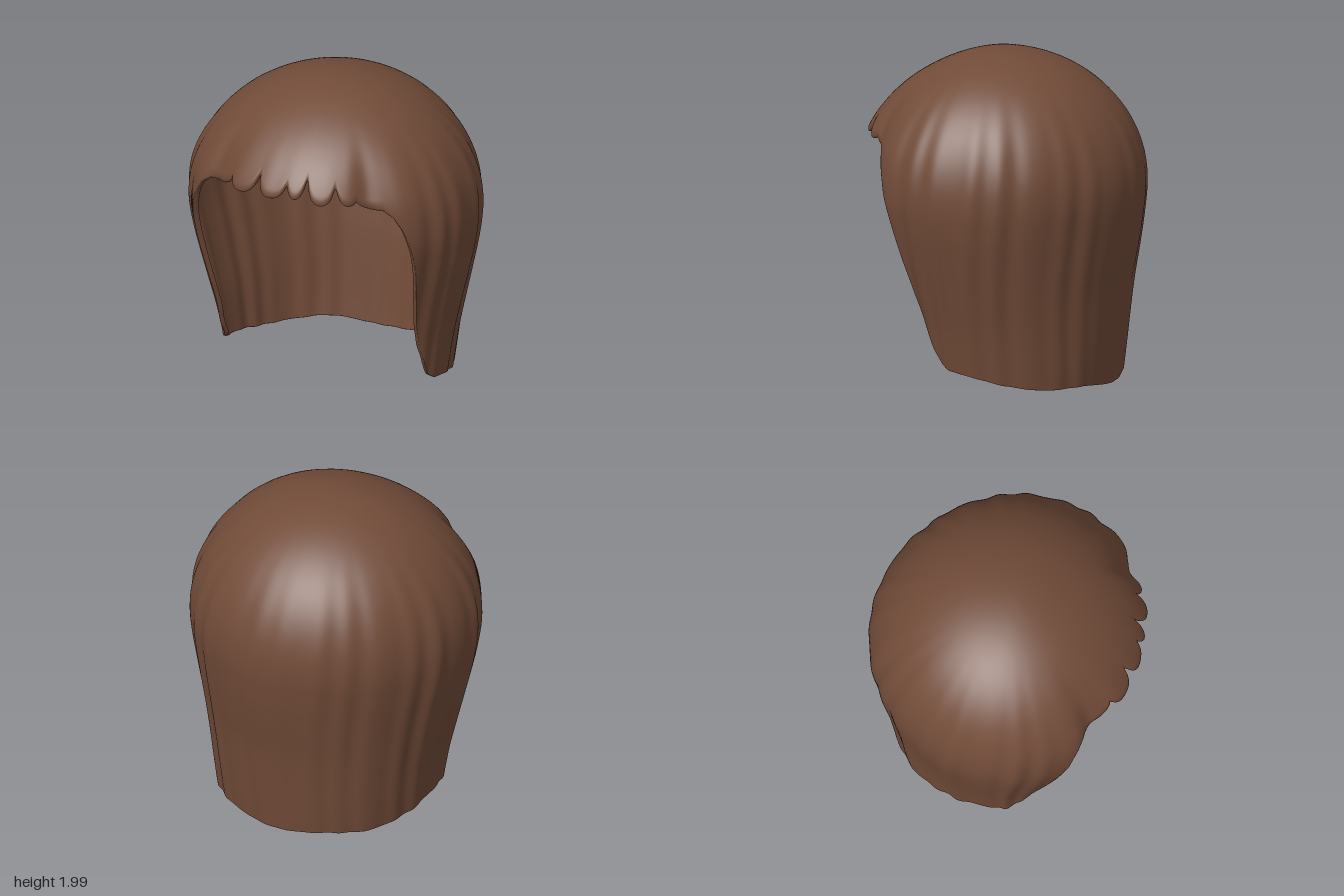
import * as THREE from 'three';
import { mergeVertices } from 'three/addons/utils/BufferGeometryUtils.js';

const COLS = 480, ROWS = 56, LIP = 4;
const CENTRE_Z = 0.06;
const { smoothstep, lerp, clamp, radToDeg } = THREE.MathUtils;

// Radii (side, front, back) at heights 0, 0.2, ... 1.4
const lowerRadii = new THREE.CatmullRomCurve3([
  [0.675, 0.45, 0.725], [0.705, 0.48, 0.75], [0.74, 0.53, 0.775], [0.785, 0.61, 0.803],
  [0.83, 0.69, 0.84], [0.87, 0.76, 0.87], [0.887, 0.82, 0.885], [0.859, 0.81, 0.857],
].map((p) => new THREE.Vector3(...p)), false, 'catmullrom');

// Hem height by angle from the front, in degrees
const hemTable = [
  [0, 1.49], [30, 1.465], [40, 1.44], [45, 1.435], [48.5, 1.39], [51.5, 1.3], [54.5, 1.15],
  [56, 1.0], [57.8, 0.8], [60, 0.6], [64, 0.4], [69, 0.27], [74, 0.19], [80, 0.155],
  [94, 0.125], [110, 0.075], [122, 0.05], [133, 0.04], [150, 0.042], [160, 0.03], [169, 0.015], [180, 0.008],
];

// Notches between the locks of the fringe: x position, depth
const notches = [[-0.39, 0.06], [-0.185, 0.13], [0.02, 0.09], [0.15, 0.14], [0.33, 0.12], [0.45, 0.04]];

function radiiAt(y) {
  if (y < 1.2) return lowerRadii.getPoint(Math.max(0, y) / 1.4);
  const k = Math.sqrt(Math.max(0, 1 - ((y - 1.2) / 0.8) ** 2));
  const front = (0.82 + 0.045 * smoothstep(y, 1.2, 1.5)) * k ** 1.15;
  return new THREE.Vector3(0.887 * k, front, 0.885 * k);
}

function hemAt(phi) {
  const d = Math.abs(radToDeg(phi));
  let i = 0;
  while (i < hemTable.length - 2 && d > hemTable[i + 1][0]) i++;
  const [d0, y0] = hemTable[i], [d1, y1] = hemTable[i + 1];
  let y = lerp(y0, y1, (d - d0) / (d1 - d0));
  if (d < 45) {
    const x = 0.82 * Math.sin(phi);
    for (const [nx, depth] of notches) y += depth * Math.exp(-Math.abs(x - nx) / 0.028);
  }
  return y;
}

// Soft strand grooves, fading out towards the crown and the middle of the back
function strands(phi, y) {
  const fade = smoothstep(2 - y, 0.02, 0.75);
  const side = 0.35 + 0.65 * Math.abs(Math.sin(phi));
  const p = phi + 0.03 * Math.sin(y * 3);
  return fade * side * (0.007 * Math.sin(p * 27 + 0.6) + 0.004 * Math.sin(p * 14 + 2) + 0.003 * Math.sin(p * 37 + 1));
}

// Hollow at the temples, where the fringe meets the side hair
function temple(phi, y) {
  const d = Math.abs(radToDeg(phi));
  return 0.06 * Math.exp(-(((d - 39) / 9) ** 2)) * smoothstep(y, 1.0, 1.4) * smoothstep(2 - y, 0.1, 0.5);
}

// Back corners: slightly tucked at the widest level, squarer at the hem
function backCorner(phi, y) {
  if (Math.cos(phi) > 0) return 0;
  return Math.sin(2 * phi) ** 2 * lerp(0.04, -0.012, smoothstep(y, 0, 1)) * smoothstep(2 - y, 0, 0.6);
}

function surfacePoint(phi, y, inset) {
  const r = radiiAt(y);
  const k = 1 + strands(phi, y) + backCorner(phi, y) - temple(phi, y) - inset;
  const depth = Math.cos(phi) > 0 ? r.y : r.z;
  return [r.x * Math.sin(phi) * k, y, CENTRE_Z + depth * Math.cos(phi) * k];
}

function hairGeometry() {
  const positions = [], index = [];
  const total = ROWS + LIP;
  for (let i = 0; i < COLS; i++) {
    const phi = (i / COLS) * Math.PI * 2 - Math.PI;
    const d = Math.abs(radToDeg(phi));
    const hem = hemAt(phi);
    const curl = 0.02 * (1 - smoothstep(d, 38, 50));
    const lip = lerp(0.02, 0.003, smoothstep(d, 70, 100));
    // Outer shell from crown to hem, with the fringe curling under
    for (let j = 0; j <= ROWS; j++) {
      const y = 2 - (2 - hem) * (j / ROWS) ** 1.6;
      const c = clamp(1 - (y - hem) / 0.05, 0, 1);
      positions.push(...surfacePoint(phi, y, curl * c * c));
    }
    // Rounded lip turning inwards under the hem
    for (let j = 1; j <= LIP; j++) {
      const a = (j / LIP) * Math.PI;
      const p = surfacePoint(phi, hem, curl + lip * (1 - Math.cos(a)));
      p[1] += lip * (0.5 * j / LIP - 0.4 * Math.sin(a));
      positions.push(...p);
    }
  }
  for (let i = 0; i < COLS; i++) {
    const a0 = i * (total + 1), b0 = ((i + 1) % COLS) * (total + 1);
    for (let j = 0; j < total; j++) {
      const a = a0 + j, b = b0 + j;
      if (j > 0) index.push(a, a + 1, b);
      index.push(b, a + 1, b + 1);
    }
  }
  let geometry = new THREE.BufferGeometry();
  geometry.setAttribute('position', new THREE.Float32BufferAttribute(positions, 3));
  geometry.setIndex(index);
  geometry = mergeVertices(geometry, 1e-5);
  geometry.computeVertexNormals();
  return geometry;
}

export function createModel() {
  const group = new THREE.Group();
  group.name = 'bobWig';
  const brown = new THREE.MeshStandardMaterial({ color: 0x714b38, side: THREE.DoubleSide });
  brown.name = 'brown hair';
  const hair = new THREE.Mesh(hairGeometry(), brown);
  hair.name = 'hairWithFringe';
  group.add(hair);
  return group;
}
